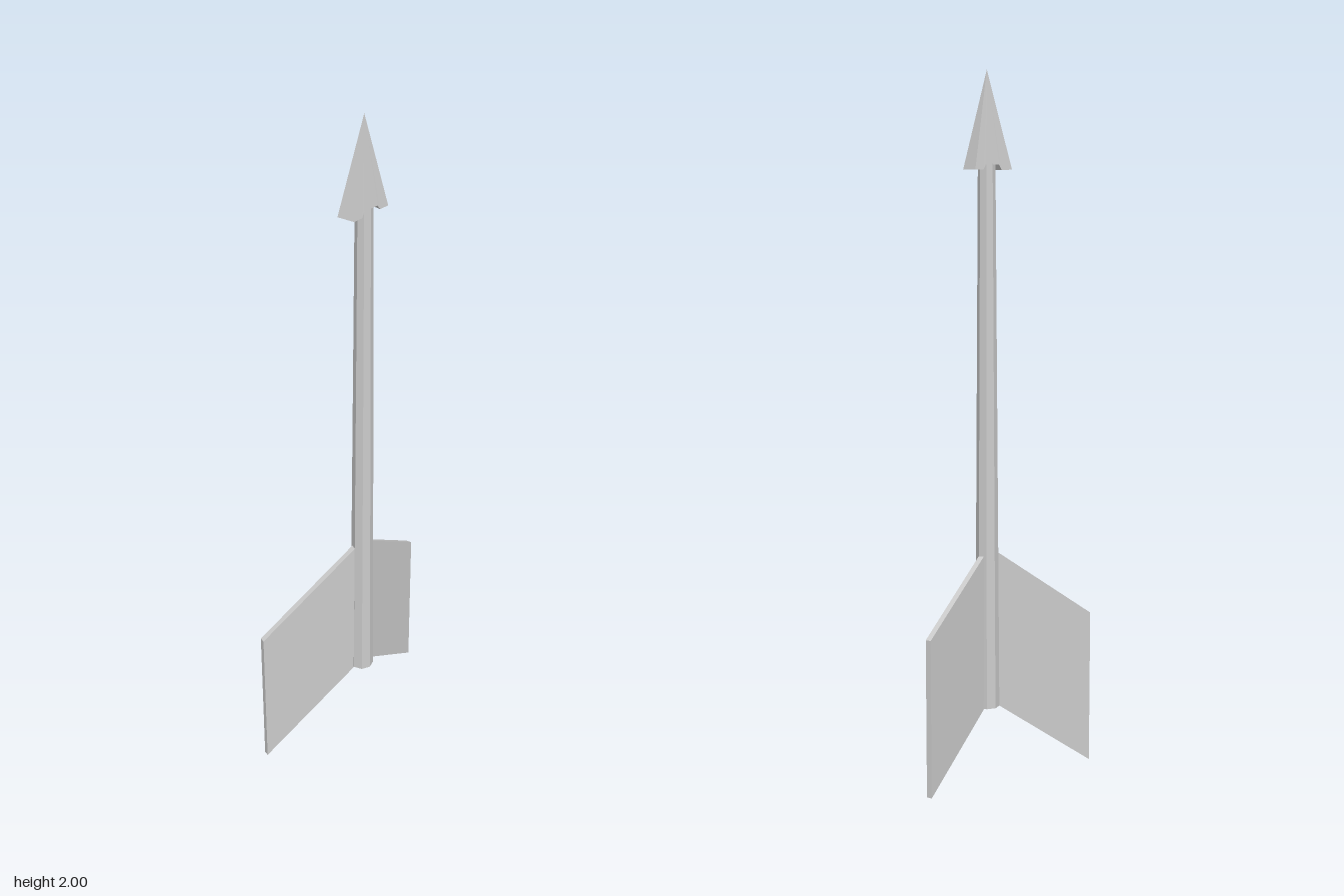
import * as THREE from 'three';

const material = new THREE.MeshStandardMaterial({ color: 0xcccccc, flatShading: true });
const AXIS = { x: 0.021, z: 0.029 };

// Tapered eight-sided shaft
function makeShaft() {
  const bottom = 0.217, top = 1.75;
  const geometry = new THREE.CylinderGeometry(0.024, 0.0345, top - bottom, 8);
  const shaft = new THREE.Mesh(geometry, material);
  shaft.position.set(AXIS.x, (top + bottom) / 2, AXIS.z);
  shaft.name = 'shaft';
  return shaft;
}

// Flat pyramid head whose base is notched where the shaft enters
function makeHead() {
  const apex = [0.019, 2, 0.03];
  const base = [[-0.047, 1.733], [-0.012, 1.733], [-0.003, 1.748], [0.045, 1.748], [0.054, 1.735], [0.084, 1.735]];
  const front = base.map(([x, y]) => [x, y, y > 1.74 ? 0.053 : 0.054]);
  const back = base.map(([x, y]) => [x, y, y > 1.74 ? 0.006 : 0.005]);
  front[0][0] = -0.041;
  back[0][0] = -0.051;
  const points = [];
  const tri = (a, b, c) => points.push(...a, ...b, ...c);
  for (let i = 0; i < base.length - 1; i++) {
    tri(apex, front[i], front[i + 1]);
    tri(apex, back[i + 1], back[i]);
    tri(front[i], back[i], back[i + 1]);
    tri(front[i], back[i + 1], front[i + 1]);
  }
  const last = base.length - 1;
  tri(apex, front[last], back[last]);
  tri(apex, back[0], front[0]);
  const geometry = new THREE.BufferGeometry();
  geometry.setAttribute('position', new THREE.Float32BufferAttribute(points, 3));
  geometry.computeVertexNormals();
  const head = new THREE.Mesh(geometry, material);
  head.name = 'arrowHead';
  return head;
}

// Swept plate running from the shaft axis out to its tip
function makeFin(name, tipX, tipZ, tipLow, tipHigh, rootLow, rootHigh) {
  const dx = tipX - AXIS.x, dz = tipZ - AXIS.z;
  const length = Math.hypot(dx, dz), thickness = 0.016;
  const outline = new THREE.Shape([
    new THREE.Vector2(0, rootLow),
    new THREE.Vector2(length, tipLow),
    new THREE.Vector2(length, tipHigh),
    new THREE.Vector2(0, rootHigh),
  ]);
  const geometry = new THREE.ExtrudeGeometry(outline, { depth: thickness, bevelEnabled: false });
  geometry.translate(0, 0, -thickness / 2);
  geometry.rotateY(Math.atan2(-dz, dx));
  const fin = new THREE.Mesh(geometry, material);
  fin.position.set(AXIS.x, 0, AXIS.z);
  fin.name = name;
  return fin;
}

export function createModel() {
  const arrow = new THREE.Group();
  arrow.name = 'arrow';
  arrow.add(
    makeShaft(),
    makeHead(),
    makeFin('rightFin', -0.303, -0.058, 0, 0.45, 0.238, 0.687),
    makeFin('leftFin', 0.303, -0.043, 0.035, 0.482, 0.236, 0.682),
  );
  return arrow;
}
